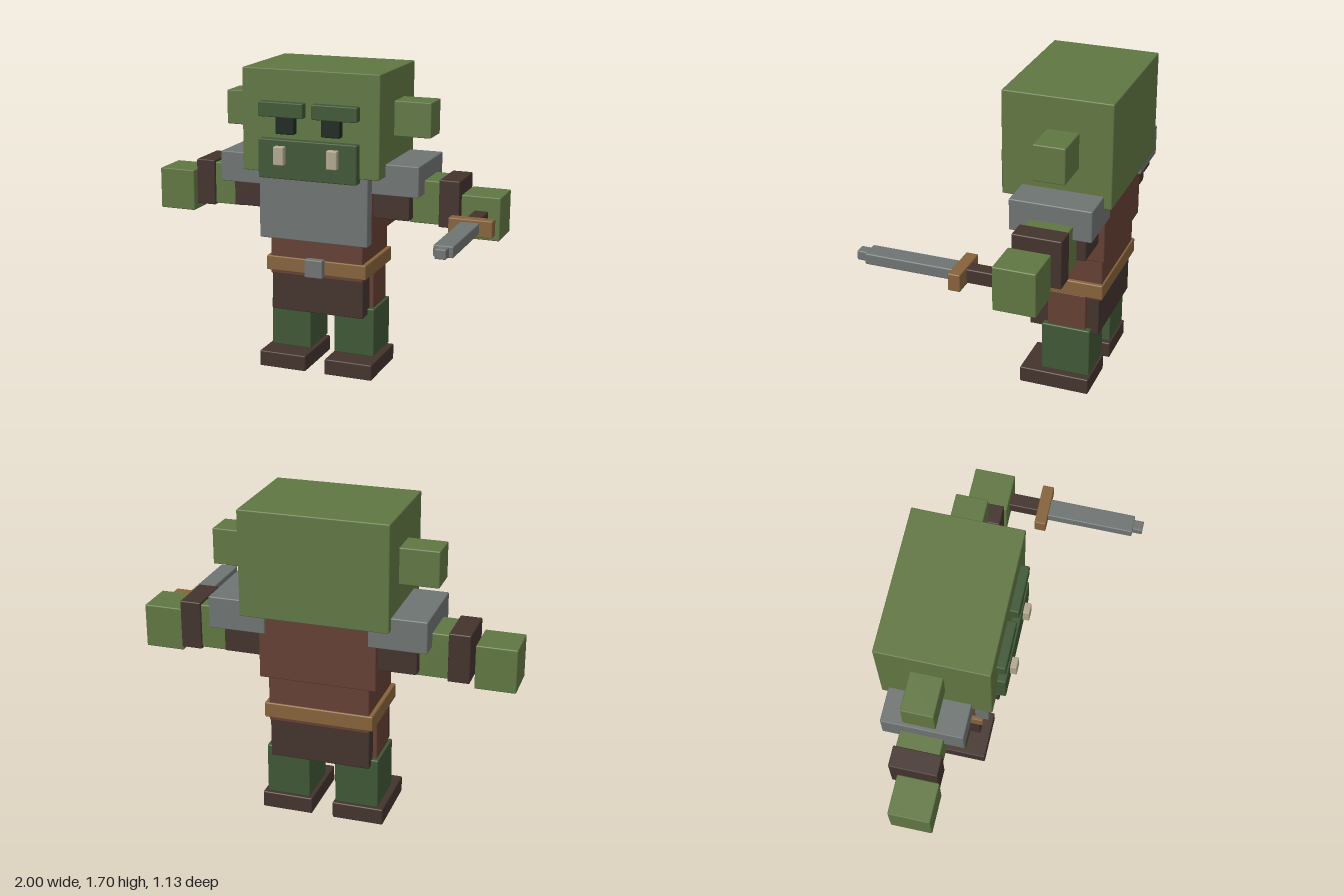
import * as THREE from 'three';
import { RoundedBoxGeometry } from 'three/addons/geometries/RoundedBoxGeometry.js';

const material = (name, color) => {
  const m = new THREE.MeshStandardMaterial({ color });
  m.name = name;
  return m;
};

export function createModel() {
  const skin = material('skin green', 0x607642);
  const darkGreen = material('dark green', 0x3f5735);
  const metal = material('grey metal', 0x6e7472);
  const tunic = material('red brown cloth', 0x643f33);
  const leather = material('dark leather', 0x43332d);
  const tan = material('tan leather', 0x85623a);
  const ivory = material('ivory', 0xb0a68c);
  const black = material('eye black', 0x1d271f);

  const model = new THREE.Group();
  model.name = 'goblinWarrior';
  const body = new THREE.Group();
  body.name = 'body';
  body.position.x = -0.01; // the body sits slightly off centre, beside the sword
  model.add(body);

  // Softly bevelled block given by its lower and upper limits on each axis
  const block = (parent, name, mat, [x0, x1], [y0, y1], [z0, z1]) => {
    const geo = new RoundedBoxGeometry(x1 - x0, y1 - y0, z1 - z0, 1, 0.006);
    const mesh = new THREE.Mesh(geo, mat);
    mesh.name = name;
    mesh.position.set((x0 + x1) / 2, (y0 + y1) / 2, (z0 + z1) / 2);
    parent.add(mesh);
  };
  const centred = (name, mat, half, y, z) => block(body, name, mat, [-half, half], y, z);
  const pair = (name, mat, [a, b], y, z) => {
    block(body, name + 'Left', mat, [a, b], y, z);
    block(body, name + 'Right', mat, [-b, -a], y, z);
  };

  // Head and face
  centred('head', skin, 0.387, [1.145, 1.70], [-0.565, 0.01]);
  pair('ear', skin, [0.37, 0.59], [1.34, 1.53], [-0.393, -0.226]);
  pair('brow', darkGreen, [0.024, 0.278], [1.45, 1.53], [0, 0.056]);
  pair('eye', black, [0.076, 0.182], [1.36, 1.46], [0, 0.05]);
  centred('muzzle', darkGreen, 0.278, [1.12, 1.332], [-0.01, 0.056]);
  pair('tusk', ivory, [0.12, 0.18], [1.20, 1.30], [0.04, 0.09]);

  // Torso and armour
  centred('chest', tunic, 0.308, [0.80, 1.16], [-0.51, -0.09]);
  centred('waist', tunic, 0.268, [0.55, 0.81], [-0.49, -0.08]);
  centred('breastplate', metal, 0.311, [0.765, 1.16], [-0.105, -0.03]);
  pair('shoulderPad', metal, [0.27, 0.57], [1.045, 1.213], [-0.525, -0.095]);

  // Belt and skirt
  centred('belt', tan, 0.29, [0.57, 0.652], [-0.50, -0.07]);
  centred('buckle', metal, 0.052, [0.56, 0.662], [-0.08, -0.035]);
  centred('skirt', leather, 0.267, [0.34, 0.575], [-0.477, -0.095]);
  pair('skirtSide', tunic, [0.25, 0.29], [0.342, 0.575], [-0.412, -0.203]);

  // Legs and boots
  pair('leg', darkGreen, [0.07, 0.304], [0.10, 0.375], [-0.44, -0.175]);
  pair('boot', leather, [0.057, 0.332], [0.003, 0.092], [-0.445, -0.06]);

  // Arms
  pair('sleeve', leather, [0.29, 0.508], [0.905, 1.10], [-0.477, -0.135]);
  pair('forearm', skin, [0.49, 0.66], [0.885, 1.12], [-0.428, -0.20]);
  pair('bracer', leather, [0.654, 0.766], [0.877, 1.133], [-0.44, -0.185]);
  pair('hand', skin, [0.78, 0.99], [0.835, 1.067], [-0.393, -0.173]);

  // Sword held in the left hand
  const sword = new THREE.Group();
  sword.name = 'sword';
  model.add(sword);
  block(sword, 'grip', leather, [0.84, 0.915], [0.916, 0.99], [-0.25, -0.01]);
  block(sword, 'guard', tan, [0.763, 0.995], [0.907, 0.997], [-0.018, 0.045]);
  block(sword, 'blade', metal, [0.826, 0.927], [0.924, 0.982], [0.035, 0.512]);
  block(sword, 'bladeTip', metal, [0.848, 0.906], [0.928, 0.978], [0.50, 0.565]);

  return model;
}
